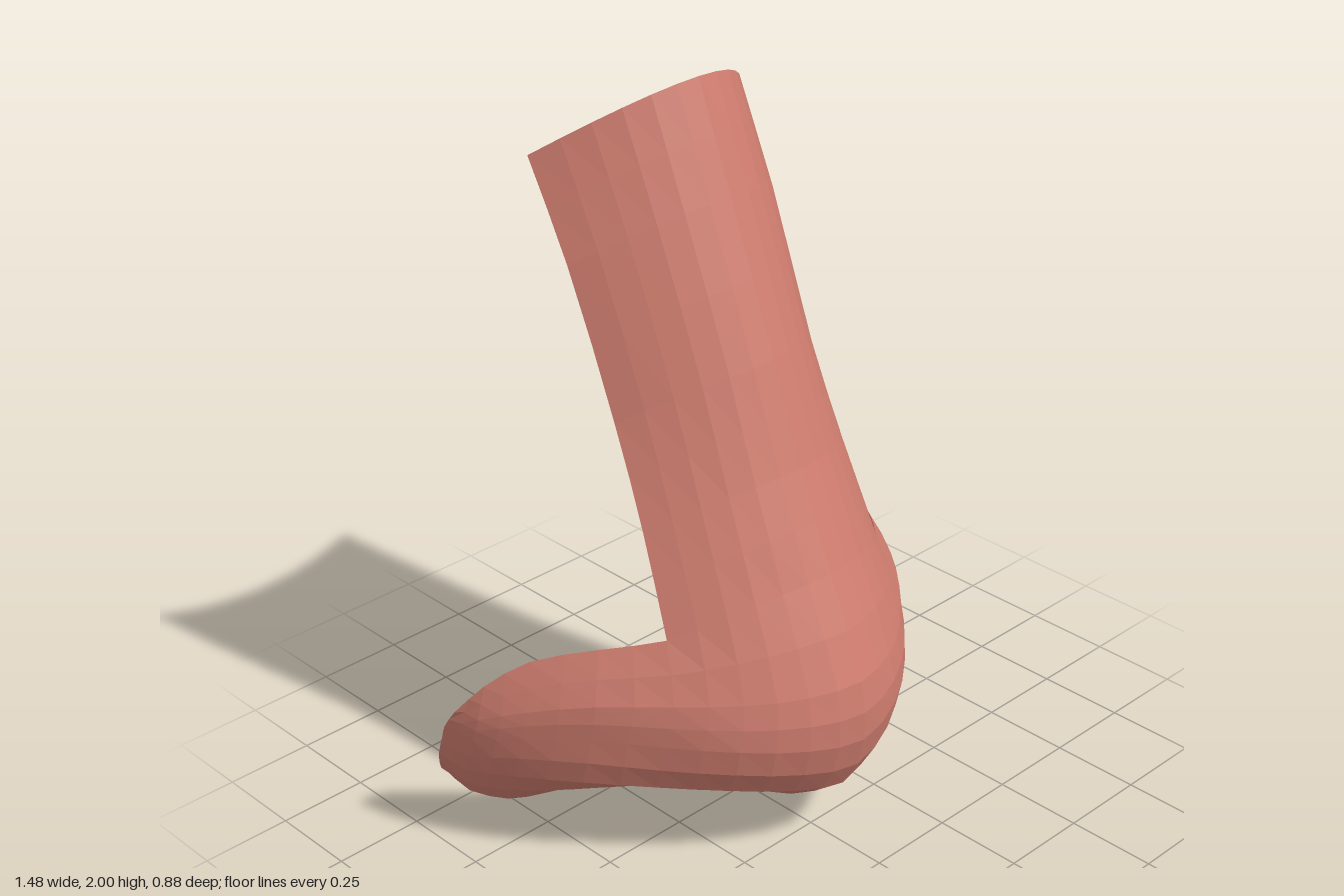
import * as THREE from 'three';

const V = (p) => new THREE.Vector3(...p);

// Smooth samples through key points, `sub` steps between neighbours
const sample = (pts, sub) => new THREE.CatmullRomCurve3(pts).getPoints((pts.length - 1) * sub);

// Half a feature line (centre outwards) mirrored to the full width
function featureLine(half) {
  const left = half.map(V);
  const right = half.slice(1).reverse().map(([x, y, z]) => V([-x, y, z]));
  return sample([...right, ...left], 2);
}

// Skin over columns of points: columns run -x to +x, points run top to bottom
function loft(columns) {
  const rows = columns[0].length, pos = [], index = [];
  columns.forEach((col) => col.forEach((p) => pos.push(p.x, p.y, p.z)));
  for (let c = 0; c < columns.length - 1; c++) {
    for (let r = 0; r < rows - 1; r++) {
      const a = c * rows + r, d = a + rows;
      index.push(a, a + 1, d + 1, a, d + 1, d);
    }
  }
  const geo = new THREE.BufferGeometry();
  geo.setAttribute('position', new THREE.Float32BufferAttribute(pos, 3));
  geo.setIndex(index);
  geo.computeVertexNormals();
  return geo;
}

export function createModel() {
  const skin = new THREE.MeshStandardMaterial({ color: 0xcf7d6f, flatShading: true, side: THREE.DoubleSide });
  skin.name = 'skin';

  // Feature lines of the lower nose, from the upper edge down and under to the rear edge
  const upperEdge = [[0, .80, .305], [.14, .785, .275], [.27, .743, .21], [.385, .685, .11],
    [.50, .65, -.02], [.61, .60, -.16], [.69, .52, -.25], [.735, .43, -.32]];
  const cheek = [[0, .53, .42], [.15, .53, .38], [.29, .53, .29], [.42, .53, .17],
    [.55, .52, .02], [.65, .48, -.13], [.715, .43, -.25], [.74, .37, -.36]];
  const bulge = [[0, .36, .435], [.16, .38, .395], [.31, .40, .295], [.44, .41, .155],
    [.56, .42, .01], [.66, .40, -.14], [.72, .36, -.27], [.738, .33, -.375]];
  const rim = [[0, .19, .365], [.15, .22, .33], [.30, .25, .24], [.43, .26, .11],
    [.56, .27, -.03], [.655, .26, -.18], [.71, .24, -.32], [.73, .26, -.405]];
  const nostrilRoof = [[0, .05, .14], [.13, .10, .06], [.25, .13, -.04], [.37, .14, -.13],
    [.49, .12, -.21], [.59, .10, -.30], [.66, .12, -.375], [.715, .21, -.425]];
  const rearEdge = [[0, 0, -.055], [.12, .04, -.10], [.23, .06, -.18], [.36, .045, -.275],
    [.45, .03, -.325], [.54, .035, -.37], [.625, .095, -.405], [.70, .18, -.44]];

  const lines = [upperEdge, cheek, bulge, rim, nostrilRoof, rearEdge].map(featureLine);
  const bodyColumns = lines[0].map((_, i) => sample(lines.map((l) => l[i]), 2));

  // Bridge: an arched sheet between its ridge and its side edges, joined to the upper edge
  const ridge = sample([[0, 2, -.16], [0, 1.72, -.05], [0, 1.33, .10], [0, 1.06, .195], [0, .80, .305]].map(V), 2);
  const side = sample([[.355, 1.83, -.39], [.352, 1.58, -.26], [.345, 1.2, -.11], [.36, .95, 0], [.385, .685, .11]].map(V), 2);
  const mid = (lines[0].length - 1) / 2;
  const bridgeColumns = lines[0].slice(mid - 6, mid + 7).map((joint) => {
    const q = joint.x / .385;
    return ridge.map((p, r) => {
      if (r === ridge.length - 1) return joint.clone();
      const v = p.clone().lerp(side[r], q * q);
      v.x = side[r].x * q;
      return v;
    });
  });

  const group = new THREE.Group();
  group.name = 'nose';
  const add = (name, columns) => {
    const mesh = new THREE.Mesh(loft(columns), skin);
    mesh.name = name;
    group.add(mesh);
  };
  add('bridge', bridgeColumns);
  add('tipAndNostrils', bodyColumns);
  return group;
}
